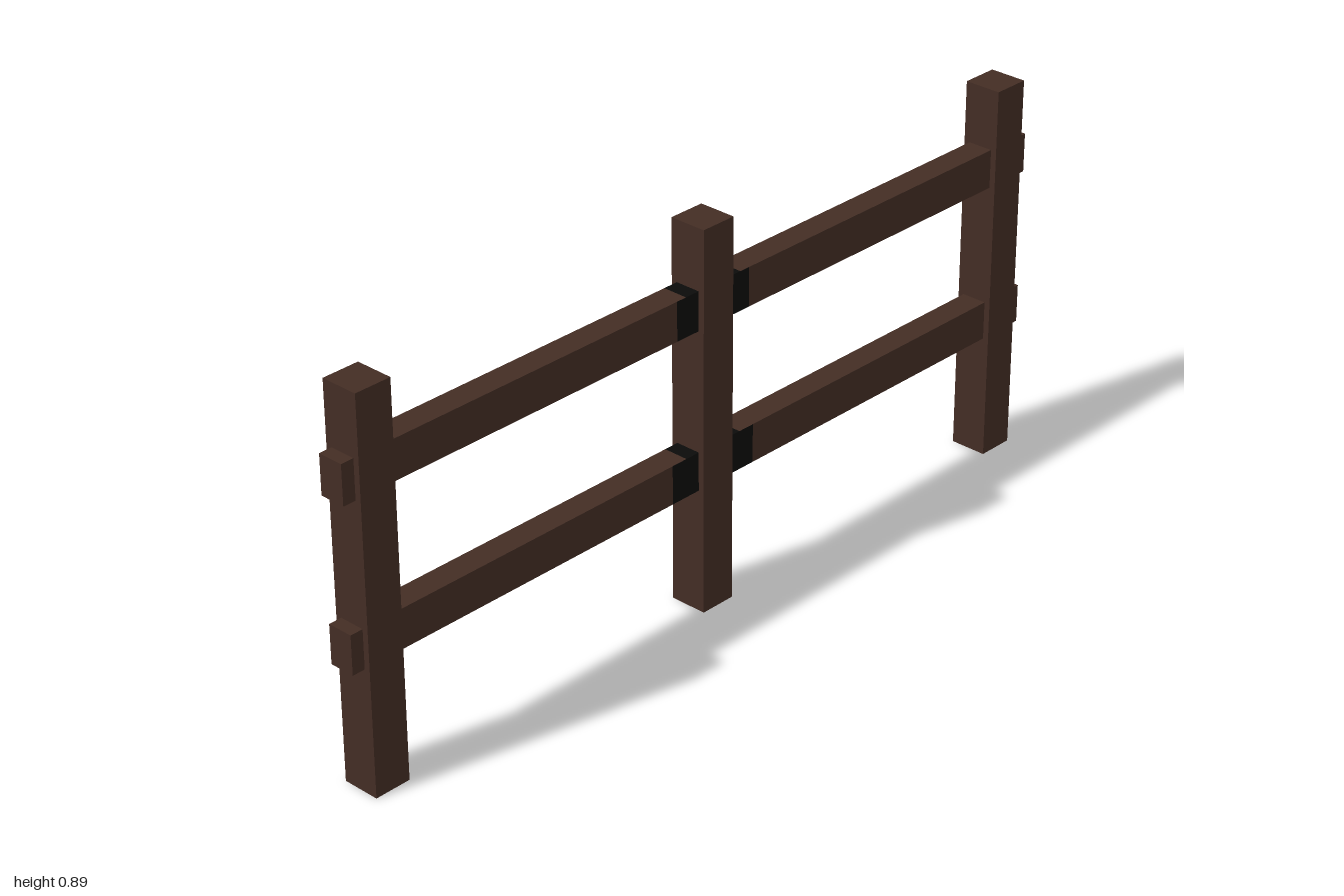
import * as THREE from 'three';

const wood = new THREE.MeshStandardMaterial({ name: 'darkWood', color: 0x432d24 });
const char = new THREE.MeshStandardMaterial({ name: 'blackenedWood', color: 0x0b0b0a });
const WOOD = 0, CHAR = 1;

// Square post with a blackened foot (box faces: +x, -x, +y, -y, +z, -z)
function makePost(name, x) {
  const geometry = new THREE.BoxGeometry(0.087, 0.89, 0.088);
  const post = new THREE.Mesh(geometry, [wood, wood, wood, char, wood, wood]);
  post.name = name;
  post.position.set(x, 0.445, 0);
  return post;
}

// Full-length rail, blackened underneath and around its middle
function makeRail(name, y, band) {
  const cuts = [-1, -band, -0.08, 0.08, band, 1];
  const geometry = new THREE.BoxGeometry(2, 0.09, 0.06, 5, 1, 1);
  const pos = geometry.attributes.position;
  for (let i = 0; i < pos.count; i++) {
    pos.setX(i, cuts[Math.round((pos.getX(i) + 1) * 2.5)]);
  }

  // One material per segment of each long face
  const top = [WOOD, WOOD, CHAR, WOOD, WOOD];
  const bottom = [CHAR, CHAR, CHAR, CHAR, CHAR];
  const side = [WOOD, CHAR, CHAR, CHAR, WOOD];
  geometry.clearGroups();
  [WOOD, WOOD, ...top, ...bottom, ...side, ...side].forEach((material, i) => {
    geometry.addGroup(i * 6, 6, material);
  });

  const rail = new THREE.Mesh(geometry, [wood, char]);
  rail.name = name;
  rail.position.y = y;
  return rail;
}

export function createModel() {
  const fence = new THREE.Group();
  fence.name = 'fence';
  fence.add(
    makePost('rightPost', -0.926),
    makePost('middlePost', 0),
    makePost('leftPost', 0.926),
    makeRail('lowerRail', 0.335, 0.121),
    makeRail('upperRail', 0.705, 0.106),
  );
  return fence;
}
